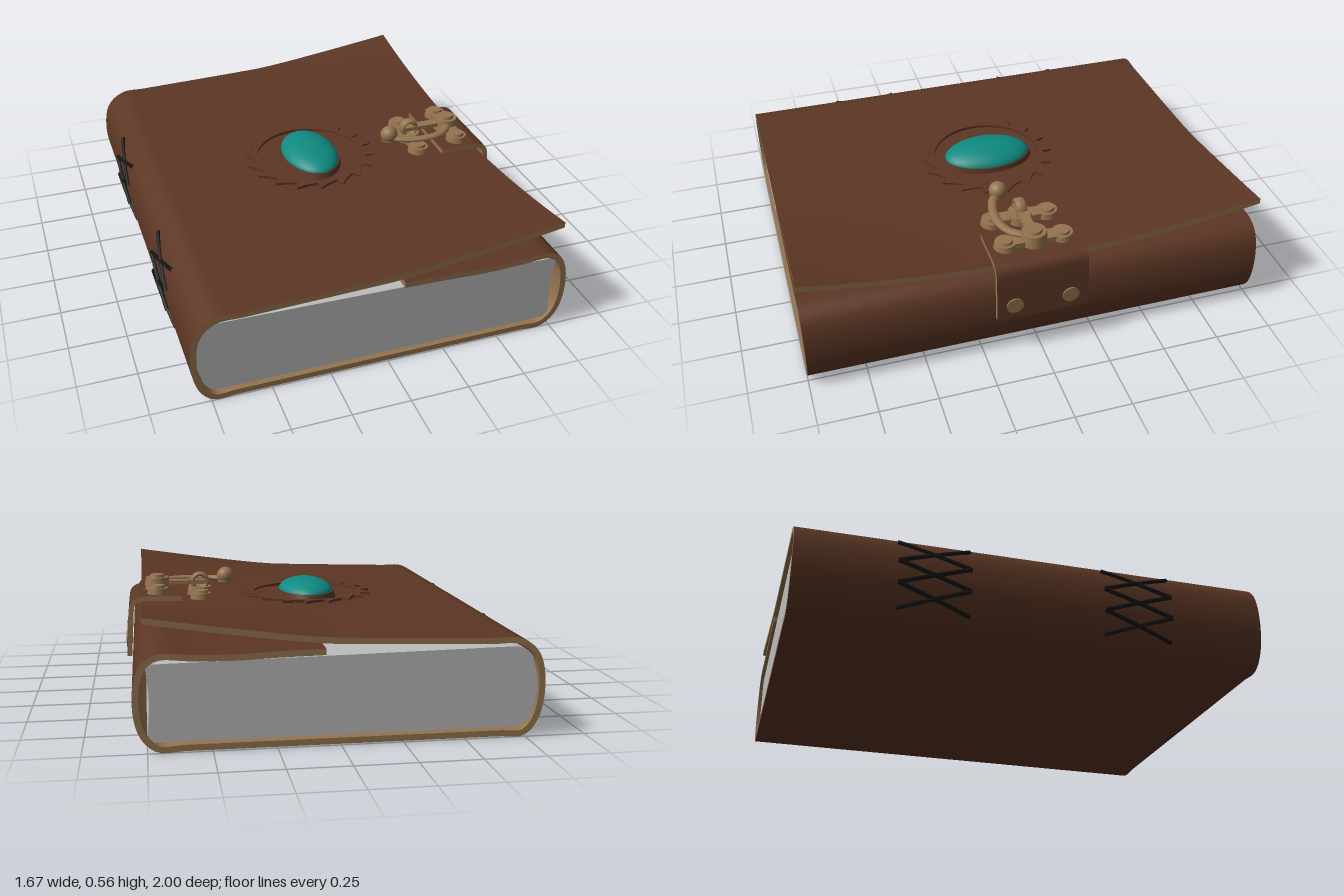
import * as THREE from 'three';

const mat = (name, color, side = THREE.FrontSide) => {
  const m = new THREE.MeshStandardMaterial({ color, side });
  m.name = name;
  return m;
};

export function createModel() {
  const leather = mat('brown leather', 0x5c3624, THREE.DoubleSide);
  const suede = mat('tan suede', 0x96744f, THREE.DoubleSide);
  const paper = mat('grey paper', 0xbcbcbc);
  const brass = mat('aged brass', 0x94744f);
  const teal = mat('teal stone', 0x0e8a82);
  const cord = mat('black cord', 0x141414);

  const model = new THREE.Group();
  model.name = 'leatherJournal';
  const group = (name) => {
    const g = new THREE.Group();
    g.name = name;
    model.add(g);
    return g;
  };
  const add = (parent, name, geometry, material, x = 0, y = 0, z = 0) => {
    const m = new THREE.Mesh(geometry, material);
    m.name = name;
    m.position.set(x, y, z);
    parent.add(m);
    return m;
  };

  // Smooth grid surface from f(u, v), facing du x dv
  const grid = (f, nu, nv) => {
    const pos = [], idx = [];
    for (let i = 0; i <= nu; i++)
      for (let j = 0; j <= nv; j++) pos.push(...f(i / nu, j / nv));
    for (let i = 0; i < nu; i++)
      for (let j = 0; j < nv; j++) {
        const a = i * (nv + 1) + j, b = a + nv + 1;
        idx.push(a, b, a + 1, b, b + 1, a + 1);
      }
    const g = new THREE.BufferGeometry();
    g.setAttribute('position', new THREE.Float32BufferAttribute(pos, 3));
    g.setIndex(idx);
    g.computeVertexNormals();
    return g;
  };

  // Thick bent sheet following an xy path, spanning z = -half..half
  const bentSheet = (parent, pts, half, thick, n, nz, lift = () => 0) => {
    const path = new THREE.CatmullRomCurve3(pts.map(([x, y]) => new THREE.Vector3(x, y, 0)));
    path.arcLengthDivisions = 1000;
    const P = (s, w, v) => {
      const p = path.getPointAt(s), t = path.getTangentAt(s);
      const z = half * (2 * v - 1);
      const d = thick * (w - 0.5);
      return [p.x - t.y * d, p.y + t.x * d + lift(s, p.x, z), z];
    };
    add(parent, 'outerFace', grid((u, v) => P(u, 1, 1 - v), n, nz), leather);
    add(parent, 'innerFace', grid((u, v) => P(u, 0, v), n, nz), suede);
    add(parent, 'frontEdge', grid((u, v) => P(u, v, 1), n, 1), suede);
    add(parent, 'backEdge', grid((u, v) => P(u, 1 - v, 0), n, 1), suede);
    add(parent, 'flapEdge', grid((u, v) => P(1, u, v), 1, nz), suede);
    add(parent, 'startEdge', grid((u, v) => P(0, u, 1 - v), 1, nz), suede);
  };

  // Wraparound cover; the corners of the top flap curl upward
  bentSheet(group('cover'), [
    [0.06, 0.372], [0.25, 0.368], [0.42, 0.362], [0.58, 0.366], [0.71, 0.37], [0.765, 0.33],
    [0.792, 0.2], [0.768, 0.07], [0.71, 0.0135], [0.6, 0.0135], [0, 0.0135], [-0.64, 0.0135],
    [-0.74, 0.0135], [-0.79, 0.07], [-0.814, 0.2], [-0.79, 0.33], [-0.72, 0.388],
    [-0.6, 0.393], [-0.2, 0.406], [0.3, 0.423], [0.55, 0.424], [0.76, 0.42],
  ], 1, 0.025, 200, 24, (s, x, z) =>
    s > 0.6 && x > 0 ? 0.093 * Math.pow(x / 0.76, 1.5) * Math.pow(Math.abs(z), 1.85) : 0);

  // Page block: rounded at the spine, hollow at the fore edge
  const page = new THREE.Shape();
  page.moveTo(-0.72, 0.035);
  page.lineTo(0.755, 0.035);
  page.quadraticCurveTo(0.725, 0.2, 0.755, 0.342);
  page.lineTo(-0.7, 0.365);
  page.quadraticCurveTo(-0.775, 0.36, -0.785, 0.29);
  page.quadraticCurveTo(-0.815, 0.2, -0.785, 0.11);
  page.quadraticCurveTo(-0.775, 0.05, -0.72, 0.035);
  add(group('pages'), 'pageBlock',
    new THREE.ExtrudeGeometry(page, { depth: 1.97, bevelEnabled: false, curveSegments: 10 }), paper, 0, 0, -0.985);

  // Flat plate from [x, z] outline points, lying at height y
  const plate = (parent, name, outline, hole, y, h, material) => {
    const v = (list) => list.map(([x, z]) => new THREE.Vector2(x, -z));
    const s = new THREE.Shape(v(outline));
    if (hole) s.holes.push(new THREE.Path(v(hole)));
    const g = new THREE.ExtrudeGeometry(s, { depth: h, bevelEnabled: false });
    return add(parent, name, g.rotateX(-Math.PI / 2), material, 0, y, 0);
  };
  const circle = (cx, cz, r, n) => Array.from({ length: n }, (_, i) => {
    const a = (i / n) * Math.PI * 2;
    return [cx + r * Math.cos(a), cz + r * Math.sin(a)];
  });

  // Jagged leather ring and oval stone
  const emblem = group('emblem');
  const teeth = [];
  for (let i = 0; i < 18; i++) {
    const a = (i / 18) * Math.PI * 2;
    for (const [k, r] of [[0, 0.262], [0.18, 0.275], [0.32, 0.305]])
      teeth.push([-0.01 + r * Math.cos(a + k), r * Math.sin(a + k)]);
  }
  plate(emblem, 'jaggedRing', teeth, circle(-0.01, 0, 0.245, 48), 0.43, 0.012, leather);
  add(emblem, 'stoneSetting', new THREE.CylinderGeometry(0.94, 1, 0.035, 48), leather, -0.01, 0.434, 0)
    .scale.set(0.14, 1, 0.215);
  add(emblem, 'stone', new THREE.SphereGeometry(1, 40, 16, 0, Math.PI * 2, 0, Math.PI / 2), teal, -0.01, 0.444, 0)
    .scale.set(0.126, 0.062, 0.2);

  // Strap folded over the fore edge, with two rivets
  const strap = group('strap');
  bentSheet(strap, [
    [0.58, 0.453], [0.68, 0.454], [0.76, 0.453], [0.797, 0.435], [0.808, 0.39], [0.814, 0.3], [0.82, 0.195],
  ], 0.2, 0.022, 40, 2);
  for (const z of [-0.123, 0.123])
    add(strap, 'rivet', new THREE.CylinderGeometry(0.037, 0.037, 0.012, 24).rotateZ(Math.PI / 2), brass, 0.826, 0.26, z);

  // Swing clasp: two riveted bars, a staple loop and a curved hook
  const clasp = group('clasp');
  const disc = (name, x, y, z, r, h) =>
    add(clasp, name, new THREE.CylinderGeometry(r * 0.9, r, h, 24), brass, x, y, z);
  for (const [x, y] of [[0.49, 0.435], [0.685, 0.462]]) {
    add(clasp, 'basePlate', new THREE.BoxGeometry(0.06, 0.03, 0.25), brass, x, y + 0.015, 0);
    for (const z of [-0.125, 0.125]) {
      disc('plateEnd', x, y + 0.015, z, 0.05, 0.03);
      disc('plateRivet', x, y + 0.035, z, 0.034, 0.014);
    }
    disc('plateCentre', x, y + 0.02, 0, 0.058, 0.04);
  }
  disc('pivot', 0.685, 0.505, 0, 0.058, 0.035);
  disc('pivotCap', 0.685, 0.528, 0, 0.036, 0.014);
  add(clasp, 'latchBar', new THREE.BoxGeometry(0.2, 0.018, 0.045), brass, 0.56, 0.497, 0);
  add(clasp, 'stapleLoop', new THREE.TorusGeometry(0.034, 0.011, 10, 28), brass, 0.49, 0.498, 0).scale.z = 2.2;
  const hook = new THREE.CatmullRomCurve3([
    [0.365, 0.06], [0.41, 0.095], [0.49, 0.118], [0.57, 0.115], [0.635, 0.085], [0.685, 0.01],
  ].map(([x, z]) => new THREE.Vector3(x, 0, z)));
  add(clasp, 'hookArm', new THREE.TubeGeometry(hook, 32, 0.02, 10), brass, 0, 0.497, 0).scale.y = 0.6;
  add(clasp, 'hookKnob', new THREE.SphereGeometry(0.04, 24, 16), brass, 0.365, 0.513, 0.06);
  add(clasp, 'knobFoot', new THREE.CylinderGeometry(0.034, 0.034, 0.03, 20), brass, 0.365, 0.499, 0.06);

  // Crossed lacing on the spine, hugging its curve
  const lacing = group('spineLacing');
  const spineX = (y) => -0.834 + 1.6 * (y - 0.2) ** 2;
  const lace = (y0, z0, y1, z1) => {
    const pts = [];
    for (let i = 0; i <= 6; i++) {
      const y = y0 + ((y1 - y0) * i) / 6;
      pts.push(new THREE.Vector3(spineX(y), y, z0 + ((z1 - z0) * i) / 6));
    }
    add(lacing, 'lace', new THREE.TubeGeometry(new THREE.CatmullRomCurve3(pts), 12, 0.009, 6), cord);
  };
  for (const side of [-1, 1])
    for (let i = 0; i < 3; i++) {
      const y = 0.055 + i * 0.1;
      lace(y, side * 0.285, y + 0.1, side * 0.585);
      lace(y, side * 0.585, y + 0.1, side * 0.285);
    }

  return model;
}
